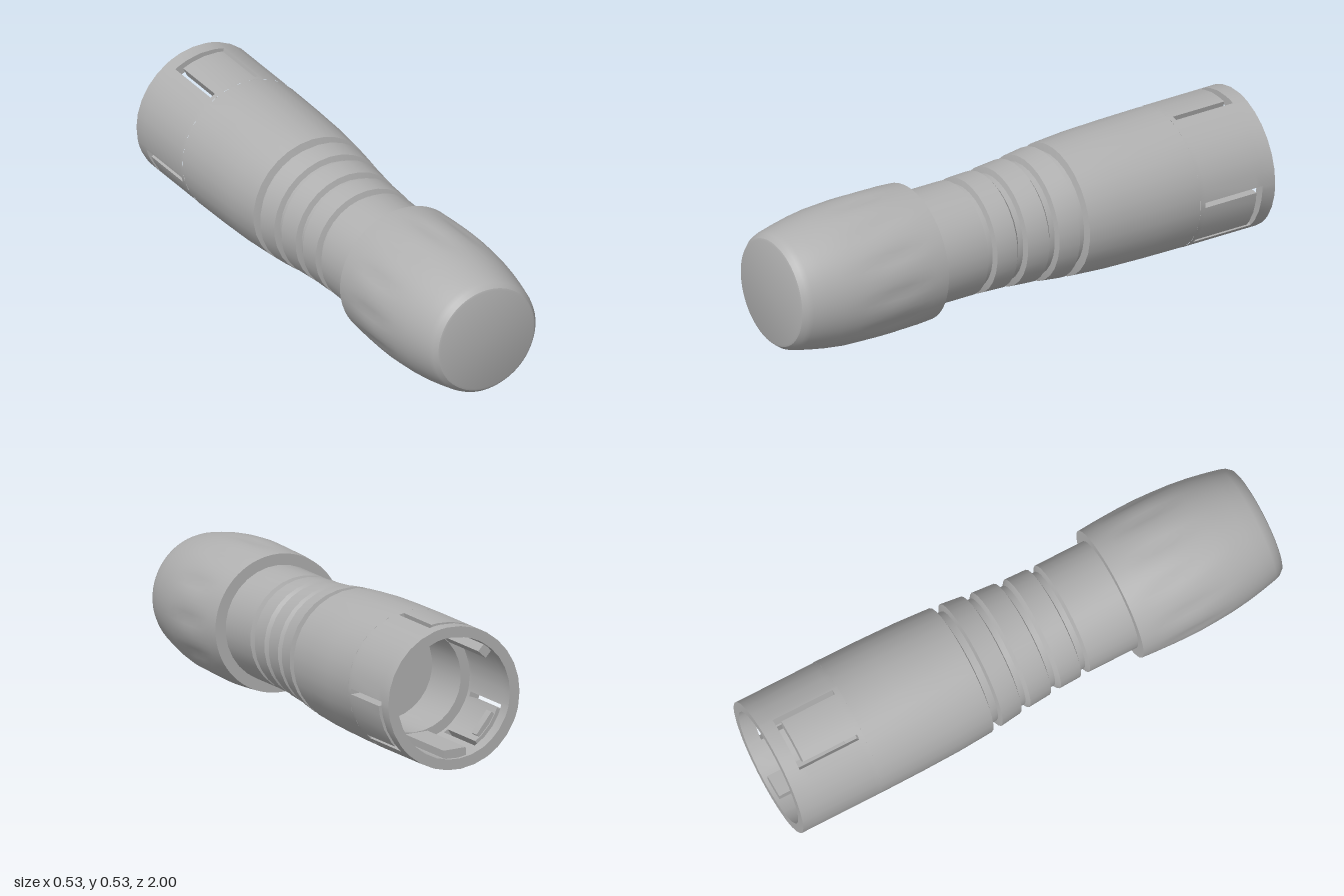
import * as THREE from 'three';
import { toCreasedNormals } from 'three/addons/utils/BufferGeometryUtils.js';

const AXIS_Y = 0.267, R_OUT = 0.265, R_IN = 0.226;
const rad = THREE.MathUtils.degToRad;
const LATCHES = [97.5, 217.5, 337.5];

// Profile of [radius, z] pairs, revolved around the z axis
function revolve(points, segments) {
  const g = new THREE.LatheGeometry(points.map(([r, z]) => new THREE.Vector2(r, z)), segments);
  return g.rotateX(Math.PI / 2);
}

// Thick tube wall on an angle/z grid, leaving out the cells of the latch slots
function slottedSleeve() {
  const set = new Set();
  for (let a = 0; a < 360; a += 12) set.add(a);
  for (const c of LATCHES) for (const d of [-23, -18.5, 18.5, 23]) set.add((c + d + 360) % 360);
  const angles = [...set].sort((a, b) => a - b);
  const zs = [-1, -0.945, -0.92, -0.7, -0.68];
  const n = angles.length, m = zs.length - 1;

  const isSolid = (i, j) => {
    if (j < 0 || j >= m) return false;
    i = (i + n) % n;
    const next = i + 1 < n ? angles[i + 1] : 360;
    const mid = (angles[i] + next) / 2;
    return !LATCHES.some(c => {
      const d = Math.abs(((mid - c + 540) % 360) - 180);
      return (j === 1 && d < 23) || (j === 2 && d > 18.5 && d < 23);
    });
  };
  const pos = [];
  const pt = (r, i, j) => {
    const a = rad(angles[(i + n) % n]);
    return [r * Math.cos(a), r * Math.sin(a), zs[j]];
  };
  const quad = (a, b, c, d) => pos.push(...a, ...b, ...c, ...a, ...c, ...d);

  for (let i = 0; i < n; i++) for (let j = 0; j < m; j++) {
    if (!isSolid(i, j)) continue;
    const o = [pt(R_OUT, i, j), pt(R_OUT, i + 1, j), pt(R_OUT, i + 1, j + 1), pt(R_OUT, i, j + 1)];
    const k = [pt(R_IN, i, j), pt(R_IN, i + 1, j), pt(R_IN, i + 1, j + 1), pt(R_IN, i, j + 1)];
    quad(o[0], o[1], o[2], o[3]);
    quad(k[3], k[2], k[1], k[0]);
    // Walls towards open neighbours; the front end sits against the body
    const open = [!isSolid(i, j - 1), !isSolid(i + 1, j), j + 1 < m && !isSolid(i, j + 1), !isSolid(i - 1, j)];
    open.forEach((isOpen, e) => {
      const f = (e + 1) % 4;
      if (isOpen) quad(o[f], o[e], k[e], k[f]);
    });
  }
  const g = new THREE.BufferGeometry();
  g.setAttribute('position', new THREE.Float32BufferAttribute(pos, 3));
  return toCreasedNormals(g, 0.6);
}

// Grip shell with shallow spindle-shaped flutes pressed into it
function flutedGrip() {
  const profile = [[0.2, 0.4], [0.256, 0.4], [0.26, 0.46], [0.263, 0.52], [0.265, 0.58], [0.265, 0.64],
    [0.262, 0.7], [0.257, 0.77], [0.248, 0.84], [0.237, 0.9], [0.224, 0.96], [0.217, 0.98], [0.203, 0.997], [0.195, 1], [0, 1]];
  const g = revolve(profile, 72);
  const p = g.attributes.position;
  for (let i = 0; i < p.count; i++) {
    const x = p.getX(i), y = p.getY(i), z = p.getZ(i), r = Math.hypot(x, y);
    if (r < 0.24 || z < 0.45 || z > 0.8) continue;
    const phase = Math.max(0, Math.cos(Math.atan2(y, x) * 12));
    const along = Math.max(0, 1 - Math.abs(z - 0.61) / 0.15);
    const s = 1 - 0.008 * phase * along / r;
    p.setXY(i, x * s, y * s);
  }
  return toCreasedNormals(g, 0.5);
}

export function createModel() {
  const model = new THREE.Group();
  model.name = 'cableConnector';
  const grey = new THREE.MeshStandardMaterial({ color: 0xb0b0b0 });
  grey.name = 'plain grey';
  const shell = new THREE.Group();
  shell.name = 'connectorShell';
  shell.position.y = AXIS_Y;
  model.add(shell);

  const add = (name, geometry) => {
    const mesh = new THREE.Mesh(geometry, grey);
    mesh.name = name;
    shell.add(mesh);
    return mesh;
  };

  // Socket floor, outer body, ribbed neck and collar in one revolved profile
  const body = [[0, -0.45], [0.19, -0.45], [0.19, -0.68], [R_OUT, -0.68],
    [0.263, -0.5], [0.259, -0.35], [0.25, -0.212], [0.222, -0.205], [0.22, -0.178]];
  const rings = [[-0.172, 0.246, -0.09, 0.236], [-0.05, 0.231, 0.038, 0.224], [0.08, 0.22, 0.165, 0.217]];
  for (const [z0, r0, z1, r1] of rings)
    body.push([r0, z0], [r1, z1], [r1 - 0.022, z1 + 0.006], [r1 - 0.022, z1 + 0.028]);
  body.push([0.215, 0.202], [0.215, 0.41]);
  add('body', toCreasedNormals(revolve(body, 30), 0.4));

  add('grip', flutedGrip());
  add('latchSleeve', slottedSleeve());

  // Keying ribs inside the socket: angle, width, back end, front end
  const keys = [[-93, 0.09, -0.985, -0.66], [132, 0.04, -0.97, -0.66]];
  for (const [angle, width, z0, z1] of keys) {
    const g = new THREE.BoxGeometry(0.045, width, z1 - z0);
    g.translate(0.214, 0, (z0 + z1) / 2).rotateZ(rad(angle));
    add('keyRib', g);
  }

  // Small catch on the inner face of each latch tongue
  for (const angle of LATCHES) {
    const g = new THREE.BoxGeometry(0.03, 0.1, 0.04);
    g.translate(0.222, 0, -0.895).rotateZ(rad(angle));
    add('latchCatch', g);
  }
  return model;
}
